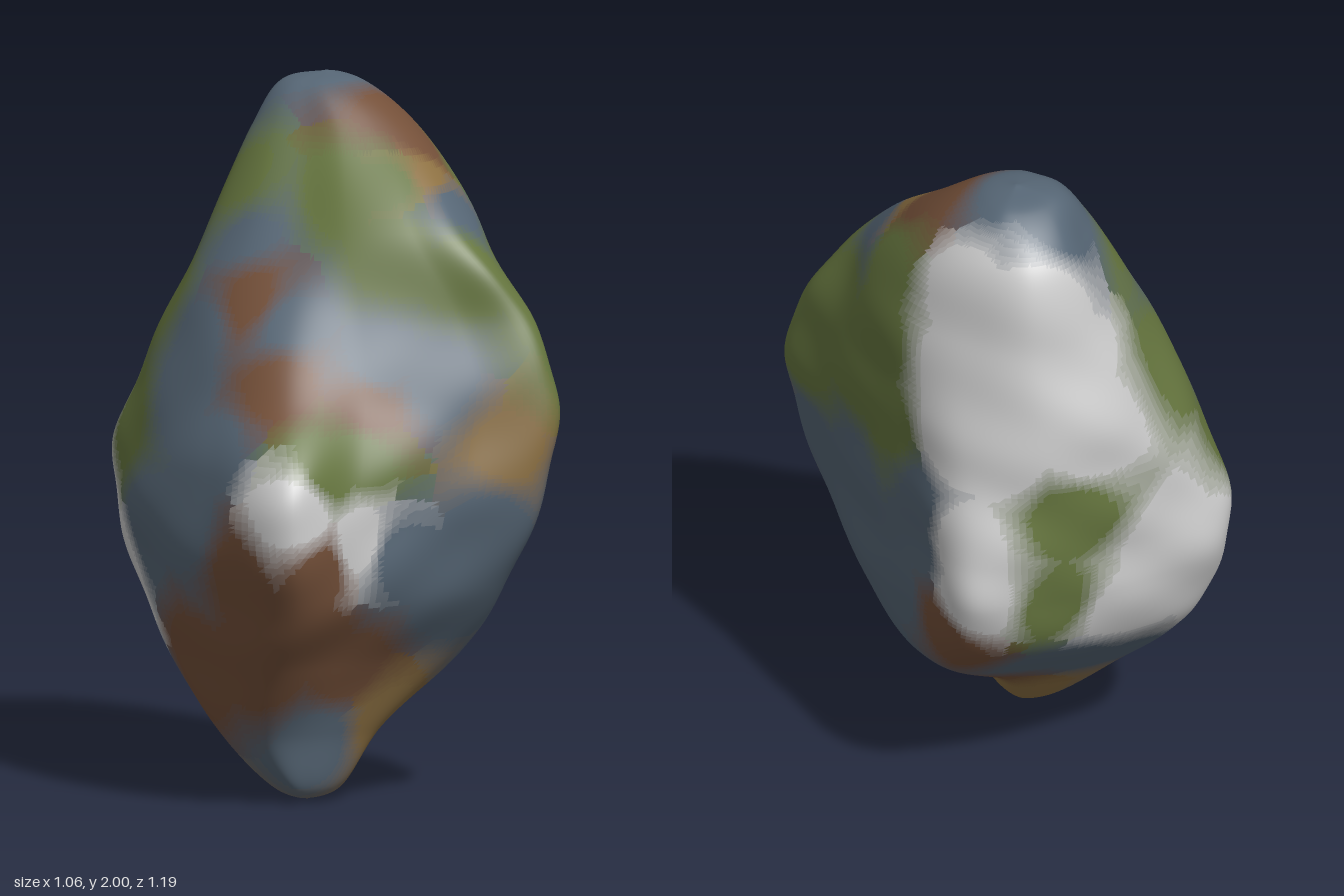
import * as THREE from 'three';

// Sections: height, then x and z of the four corners (front left, front right,
// back right, back left), then how far the front, right, back and left sides bulge.
const SECTIONS = [
  [0.03, -0.06, 0.20, -0.20, 0.24, -0.20, 0.10, -0.06, 0.08, 0.02, 0.02, 0.02, 0.02],
  [0.2, 0.06, 0.22, -0.30, 0.28, -0.31, -0.06, 0.04, -0.06, 0.04, 0.06, 0.03, 0.04],
  [0.4, 0.28, 0.25, -0.32, 0.41, -0.37, -0.26, 0.26, -0.25, 0.03, 0.10, 0.06, 0.07],
  [0.6, 0.37, 0.38, -0.33, 0.54, -0.40, -0.42, 0.33, -0.45, 0.01, 0.135, 0.08, 0.06],
  [0.8, 0.43, 0.46, -0.36, 0.58, -0.43, -0.50, 0.35, -0.54, -0.02, 0.135, 0.06, 0.03],
  [0.95, 0.47, 0.48, -0.35, 0.56, -0.44, -0.51, 0.35, -0.53, -0.03, 0.11, 0.07, 0.025],
  [1.15, 0.49, 0.48, -0.29, 0.38, -0.38, -0.47, 0.34, -0.48, 0, 0.11, 0.12, 0.035],
  [1.35, 0.44, 0.43, -0.22, 0.24, -0.30, -0.42, 0.33, -0.43, 0.015, 0.12, 0.17, 0.07],
  [1.6, 0.27, 0.32, -0.12, 0.09, -0.19, -0.38, 0.30, -0.40, 0.04, 0.10, 0.15, 0.14],
  [1.85, 0.24, 0, -0.04, -0.07, -0.07, -0.37, 0.25, -0.40, 0.05, 0.07, 0.10, 0.075],
  [1.97, 0.15, -0.15, 0, -0.18, -0.01, -0.33, 0.17, -0.34, 0.03, 0.03, 0.03, 0.03],
];
const BOTTOM = new THREE.Vector3(-0.13, 0, 0.15);
const TOP = new THREE.Vector3(0.09, 2, -0.25);
const COLS = 168, ROWS = 160;

// Mineral colours and the places where each one shows
const MINERALS = {
  moss: { color: 0x66763f, seeds: [
    [0, 1.7, 0.1], [0.25, 1.5, 0.38], [-0.1, 1.02, 0.5], [-0.22, 0.98, 0.52], [0.08, 1.55, 0.3],
    [0.45, 1.3, 0.3], [0.45, 1.3, 0.05], [0.42, 1.45, 0.2], [0.5, 1.15, 0.35], [0.35, 1.7, -0.05],
    [0.43, 1.22, -0.15], [0.42, 1.5, -0.1], [0.05, 1.1, -0.6], [0.1, 0.78, -0.6], [0.14, 1.72, 0.15],
    [-0.25, 1.35, -0.3], [-0.15, 1.65, -0.15], [-0.42, 1.0, -0.3]] },
  slate: { color: 0x566675, seeds: [
    [-0.2, 1.35, 0.2], [0, 1.25, 0.36], [-0.42, 1.0, 0.25], [0.15, 1.2, 0.42], [0.2, 0.6, 0.43],
    [0.3, 0.8, 0.47], [-0.15, 0.18, 0.3], [0.28, 1.66, 0.2], [0.43, 0.9, 0.1], [0.42, 0.7, 0.2],
    [0.42, 0.7, -0.15], [0.43, 0.9, -0.28], [0.46, 0.92, 0.36], [0.3, 0.42, 0.05], [0.02, 0.5, -0.42],
    [-0.2, 0.4, -0.25], [-0.4, 1.15, 0], [-0.5, 0.8, 0.2], [-0.52, 0.75, -0.08], [-0.36, 1.3, 0],
    [0.1, 2, -0.25], [0.02, 1.9, -0.38], [0.38, 1.05, -0.3], [0, 0.72, 0.5], [-0.2, 1.55, -0.05]] },
  rust: { color: 0x745039, seeds: [
    [0.2, 1.86, -0.08], [-0.25, 0.5, 0.47], [-0.1, 0.38, 0.38], [-0.42, 0.68, 0.4], [-0.35, 0.4, 0.35],
    [-0.3, 1.2, 0.33], [-0.05, 1.14, 0.42], [-0.27, 1.4, 0.1], [0.36, 0.66, -0.42], [0.12, 0.3, 0.02],
    [-0.42, 0.4, 0.12], [-0.25, 0.7, 0.54], [0.26, 1.8, 0]] },
  ochre: { color: 0x8c7042, seeds: [
    [0.35, 1.0, 0.47], [0.03, 0.24, 0.22], [0.23, 1.73, 0.15], [-0.02, 0.16, 0.1]] },
  paleStone: { color: 0xcccccc, seeds: [
    [-0.32, 0.87, 0.56], [-0.12, 0.77, 0.53], [0.3, 1.75, -0.4], [0.38, 1.5, -0.4], [0.4, 1.28, -0.42],
    [0.38, 1.0, -0.5], [0.1, 1.6, -0.54], [0, 1.3, -0.6], [0.25, 1.3, -0.55], [0.32, 0.82, -0.52],
    [-0.25, 0.92, -0.58], [-0.4, 0.85, -0.5], [-0.1, 0.72, -0.57], [-0.45, 0.6, -0.32], [0.1, 1.78, -0.5]] },
};

// Closed outline through the corners of one section and its bulging or hollow sides
function outline([y, ...values]) {
  const corners = [0, 1, 2, 3].map((k) => new THREE.Vector3(values[2 * k], y, values[2 * k + 1]));
  const points = corners.flatMap((corner, k) => {
    const next = corners[(k + 1) % 4];
    const outward = new THREE.Vector3(next.z - corner.z, 0, corner.x - next.x).normalize();
    const side = [0.3, 0.7].map((t) => corner.clone().lerp(next, t).addScaledVector(outward, 0.92 * values[8 + k]));
    return [corner, ...side];
  });
  const curve = new THREE.CatmullRomCurve3(points, true);
  return Array.from({ length: COLS }, (_, j) => curve.getPoint(j / COLS));
}

// Shallow uneven lumps, fading out at both tips
function weather(p) {
  const n = Math.sin(13 * p.y + 7 * p.x) * Math.sin(11 * p.z - 5 * p.y) + 0.6 * Math.sin(23 * p.y - 17 * p.x + 9 * p.z);
  const amount = 1 + 0.01 * n * Math.sin((Math.PI * p.y) / 2);
  p.x *= amount;
  p.z *= amount;
  return p;
}

// Smooth skin: a spline runs up each column from tip to tip
function buildSkin() {
  const rings = SECTIONS.map(outline);
  const positions = new Float32Array((ROWS + 1) * COLS * 3);
  for (let j = 0; j < COLS; j++) {
    const spine = new THREE.CatmullRomCurve3([BOTTOM, ...rings.map((r) => r[j]), TOP]);
    for (let i = 0; i <= ROWS; i++) {
      const p = weather(spine.getPoint(i / ROWS));
      p.y = THREE.MathUtils.clamp(p.y, 0, 2);
      p.toArray(positions, (i * COLS + j) * 3);
    }
  }
  const at = (i, j) => i * COLS + (i === 0 || i === ROWS ? 0 : j % COLS);
  const index = [];
  for (let i = 0; i < ROWS; i++) {
    for (let j = 0; j < COLS; j++) {
      const a = at(i, j), b = at(i, j + 1), c = at(i + 1, j), d = at(i + 1, j + 1);
      if (a !== b) index.push(a, c, b);
      if (c !== d) index.push(b, c, d);
    }
  }
  const skin = new THREE.BufferGeometry();
  skin.setAttribute('position', new THREE.BufferAttribute(positions, 3));
  skin.setIndex(index);
  skin.computeVertexNormals();
  return skin;
}

// Main mineral at a point, its neighbour, and the neighbour's share in eighths
function mineralAt(p) {
  const [first, second] = Object.entries(MINERALS)
    .map(([name, { seeds }]) => ({ name, d: Math.min(...seeds.map(([x, y, z]) => Math.hypot(p.x - x, p.y - y, p.z - z))) }))
    .sort((a, b) => a.d - b.d);
  const share = Math.round(4 * THREE.MathUtils.smoothstep(first.d / second.d, 0.45, 1.05));
  return { main: first.name, neighbour: share ? second.name : first.name, share };
}

export function createModel() {
  const rock = new THREE.Group();
  rock.name = 'rock';
  const skin = buildSkin();
  const position = skin.getAttribute('position');
  const index = skin.getIndex().array;

  // Sort the faces into mineral patches that share the same smooth normals
  const patches = new Map();
  const centre = new THREE.Vector3(), corner = new THREE.Vector3();
  for (let f = 0; f < index.length; f += 3) {
    centre.set(0, 0, 0);
    for (let k = 0; k < 3; k++) centre.addScaledVector(corner.fromBufferAttribute(position, index[f + k]), 1 / 3);
    const mineral = mineralAt(centre);
    const key = Object.values(mineral).join();
    if (!patches.has(key)) patches.set(key, { ...mineral, faces: [] });
    patches.get(key).faces.push(index[f], index[f + 1], index[f + 2]);
  }

  for (const { main, neighbour, share, faces } of patches.values()) {
    const geometry = new THREE.BufferGeometry();
    geometry.setAttribute('position', position);
    geometry.setAttribute('normal', skin.getAttribute('normal'));
    geometry.setIndex(faces);
    const color = new THREE.Color(MINERALS[main].color).lerp(new THREE.Color(MINERALS[neighbour].color), share / 8);
    const mesh = new THREE.Mesh(geometry, new THREE.MeshStandardMaterial({ color }));
    mesh.name = share ? `${main} patch fading to ${neighbour}` : `${main} patch`;
    rock.add(mesh);
  }
  return rock;
}
